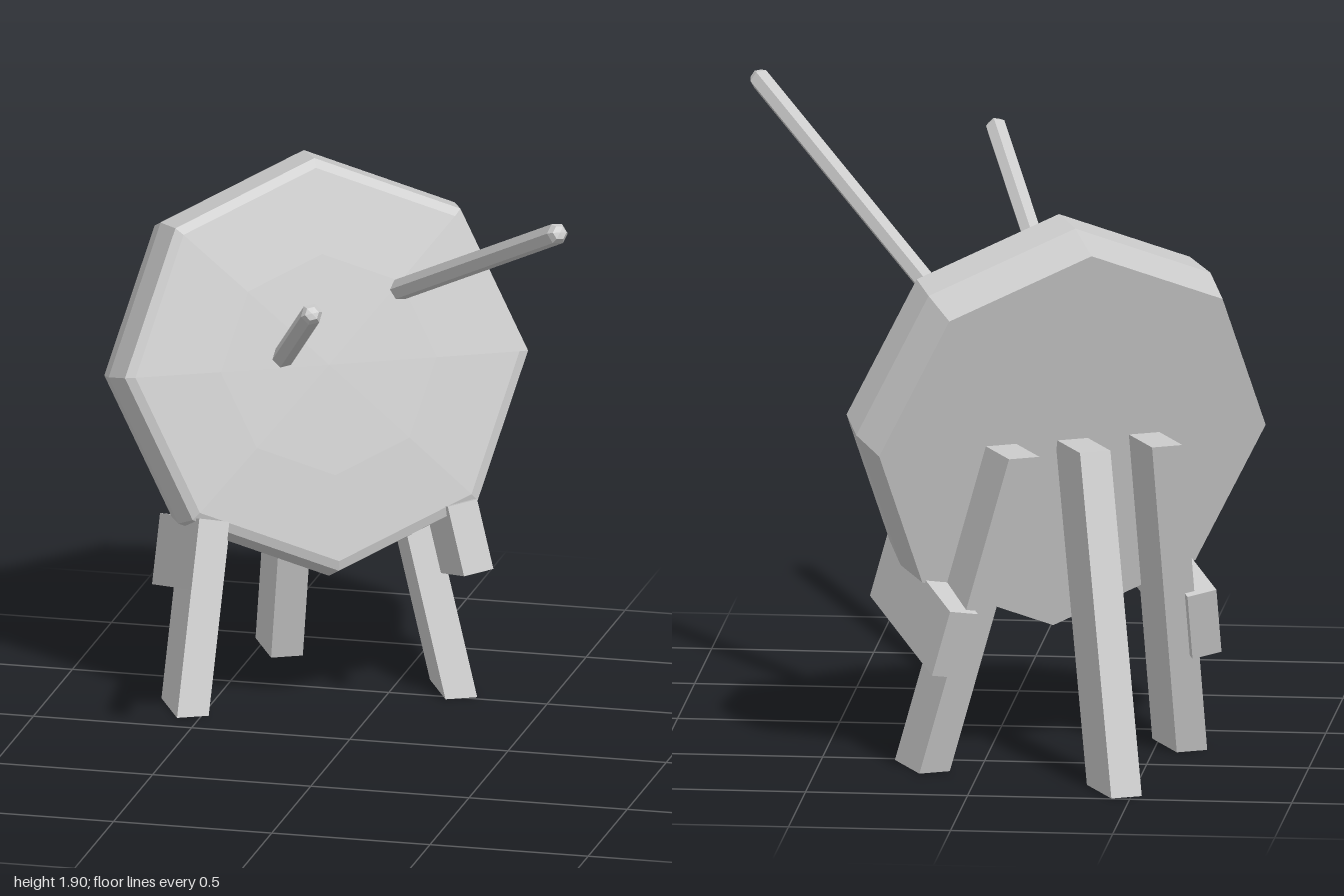
import * as THREE from 'three';

const material = new THREE.MeshStandardMaterial({ color: 0xcccccc, flatShading: true });
const YAW = THREE.MathUtils.degToRad(27);
const TILT = THREE.MathUtils.degToRad(15);
const CENTER = new THREE.Vector3(-0.15, 1.1, -0.31);

function addMesh(parent, geometry, name) {
  const mesh = new THREE.Mesh(geometry, material);
  mesh.name = name;
  parent.add(mesh);
  return mesh;
}

// Upright box sheared so both ends stay horizontal
function legGeometry(bottom, top, height) {
  const geometry = new THREE.BoxGeometry(0.1, height, 0.21);
  const p = geometry.attributes.position;
  for (let i = 0; i < p.count; i++) {
    const end = p.getY(i) > 0 ? top : bottom;
    p.setXYZ(i, p.getX(i) + end[0], p.getY(i) + height / 2, p.getZ(i) + end[1]);
  }
  geometry.computeVertexNormals();
  return geometry;
}

// Six-sided rod with blunt pointed ends, laid from one point to another
function addStick(parent, from, to, name) {
  const a = new THREE.Vector3(...from);
  const b = new THREE.Vector3(...to);
  const half = a.distanceTo(b) / 2;
  const profile = [[0, -half], [0.022, -half + 0.004], [0.034, -half + 0.025],
    [0.034, half - 0.025], [0.022, half - 0.004], [0, half]]
    .map(([r, y]) => new THREE.Vector2(r, y));
  const stick = addMesh(parent, new THREE.LatheGeometry(profile, 6), name);
  stick.position.copy(a).add(b).multiplyScalar(0.5);
  stick.quaternion.setFromUnitVectors(new THREE.Vector3(0, 1, 0), b.sub(a).normalize());
}

export function createModel() {
  const model = new THREE.Group();
  model.name = 'drumOnStand';

  // Octagonal drum, turned and tipped back, with a slightly domed skin
  const drum = new THREE.Group();
  drum.name = 'drum';
  drum.position.copy(CENTER);
  drum.rotation.set(-TILT, YAW, 0, 'YXZ');
  model.add(drum);
  const profile = [[0, -0.29], [0.635, -0.29], [0.655, -0.14], [0.635, 0],
    [0.605, 0.014], [0.34, 0.03], [0, 0.038]].map(([r, y]) => new THREE.Vector2(r, y));
  addMesh(drum, new THREE.LatheGeometry(profile, 8).rotateX(Math.PI / 2), 'drumBody');

  // Cradle blocks under the lower sides, following the drum's tilt
  for (const side of [-1, 1]) {
    const block = addMesh(drum, new THREE.BoxGeometry(0.095, 0.22, 0.55),
      side > 0 ? 'leftCradle' : 'rightCradle');
    block.position.set(side * 0.41, -0.56, -0.23);
    block.rotation.z = side * THREE.MathUtils.degToRad(10);
  }

  // Three splayed legs, cut flat at the floor
  const stand = new THREE.Group();
  stand.name = 'stand';
  stand.position.set(CENTER.x, 0, CENTER.z);
  stand.rotation.y = YAW;
  model.add(stand);
  for (const side of [-1, 1]) {
    addMesh(stand, legGeometry([side * 0.423, -0.097], [side * 0.235, -0.375], 1.03),
      side > 0 ? 'leftLeg' : 'rightLeg');
  }
  addMesh(stand, legGeometry([0, -0.639], [0, -0.37], 1.03), 'backLeg');

  // Drumsticks
  addStick(model, [-0.27, 1.135, -0.235], [0.125, 1.675, 0.99], 'rightStick');
  addStick(model, [0.04, 1.31, -0.45], [0.825, 1.885, 0.65], 'leftStick');

  return model;
}
